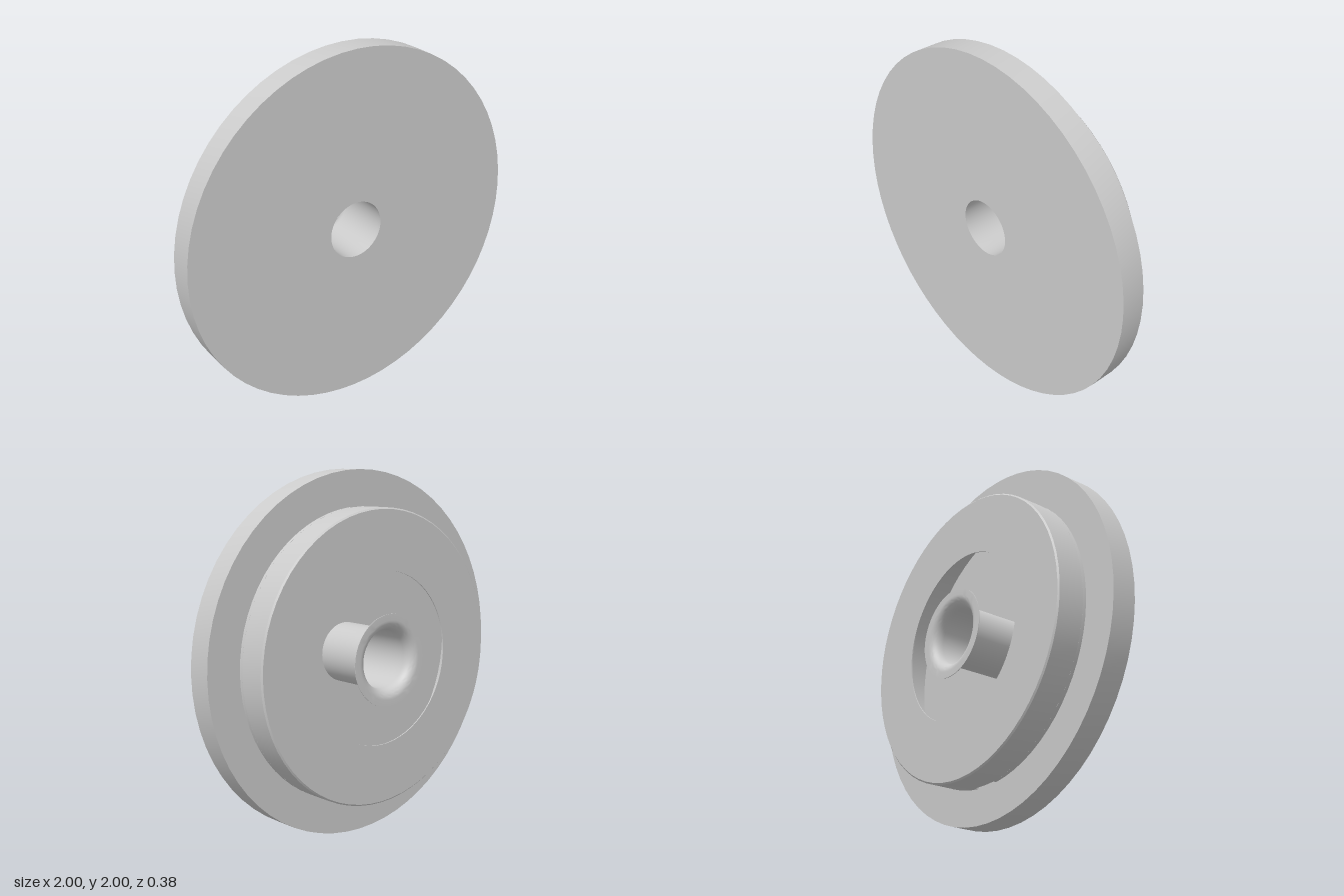
import * as THREE from 'three';
import { toCreasedNormals } from 'three/addons/utils/BufferGeometryUtils.js';

const material = new THREE.MeshStandardMaterial({ color: 0xcccccc, side: THREE.DoubleSide });

// Closed [radius, z] profile, counterclockwise, turned about the z axis
function turned(name, profile, segments = 64, start = 0, length = Math.PI * 2) {
  const points = [...profile, profile[0]].map(([r, z]) => new THREE.Vector2(r, z));
  const geometry = new THREE.LatheGeometry(points, segments, start, length).rotateX(Math.PI / 2);
  const mesh = new THREE.Mesh(toCreasedNormals(geometry, 0.5), material);
  mesh.name = name;
  return mesh;
}

export function createModel() {
  const model = new THREE.Group();
  model.name = 'flangedWheel';

  // Wide front flange and hollow rear drum, with a shallow groove at their joint
  model.add(turned('wheelBody', [
    [0.475, -0.128], [0.797, -0.128], [0.805, -0.12], [0.805, 0.03],
    [0.795, 0.03], [0.795, 0.05], [1, 0.05], [1, 0.19],
    [0.16, 0.19], [0.16, 0.172], [0.785, 0.172], [0.785, -0.122], [0.475, -0.122],
  ]));

  // Drum skin filling the groove, leaving small notches at top and bottom
  const notch = 0.093;
  for (const [name, start] of [['leftDrumSkin', 0], ['rightDrumSkin', Math.PI]]) {
    const skin = [[0.795, 0.03], [0.805, 0.03], [0.805, 0.05], [0.795, 0.05]];
    model.add(turned(name, skin, 32, start + notch, Math.PI - 2 * notch));
    // End walls of the notches
    for (const angle of [start + notch, start + Math.PI - notch]) {
      const wall = new THREE.Mesh(new THREE.PlaneGeometry(0.01, 0.02).rotateX(Math.PI / 2), material);
      wall.name = 'notchWall';
      wall.position.set(0.8 * Math.sin(angle), -0.8 * Math.cos(angle), 0.04);
      wall.rotation.z = angle - Math.PI / 2;
      model.add(wall);
    }
  }

  // Thin central tube, flaring into a flat lip at the back
  const outer = [], inner = [];
  for (let i = 0; i <= 10; i++) {
    const a = (i / 10) * Math.PI / 2;
    outer.push([0.215 - 0.05 * Math.cos(a), -0.128 - 0.059 * Math.sin(a)]);
    inner.push([0.215 - 0.055 * Math.cos(a), -0.128 - 0.062 * Math.sin(a)]);
  }
  model.add(turned('flaredTube', [
    [0.16, 0.18], ...inner, [0.25, -0.19], [0.25, -0.187], ...outer.reverse(), [0.165, 0.18],
  ]));

  model.position.y = 1;
  const root = new THREE.Group();
  root.add(model);
  return root;
}
